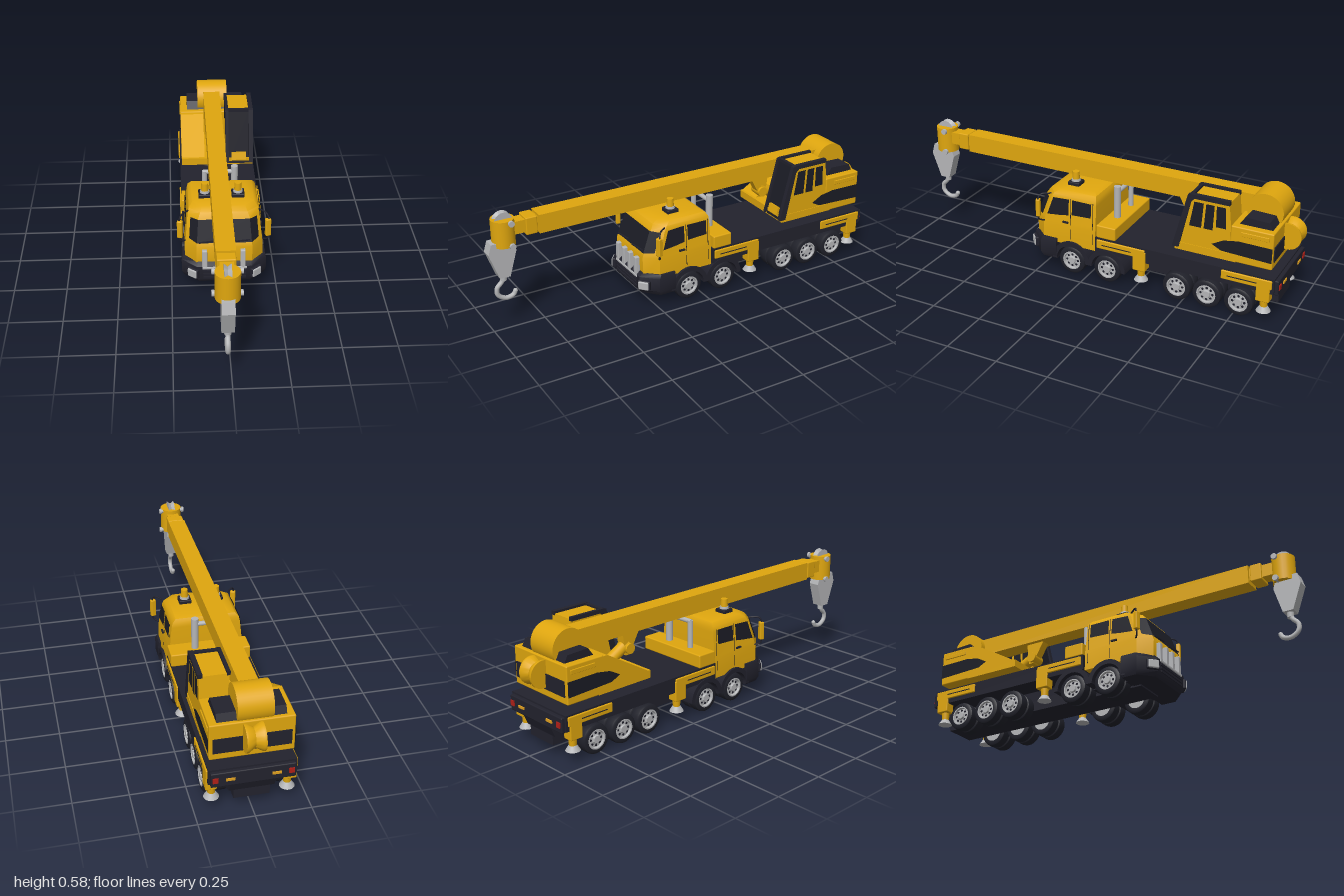
import * as THREE from 'three';
import { toCreasedNormals } from 'three/addons/utils/BufferGeometryUtils.js';
import { RoundedBoxGeometry } from 'three/addons/geometries/RoundedBoxGeometry.js';

const mat = (name, color, side = THREE.FrontSide) => {
  const m = new THREE.MeshStandardMaterial({ color, side });
  m.name = name;
  return m;
};

export function createModel() {
  const root = new THREE.Group();
  root.name = 'mobileCrane';
  const yellow = mat('yellow paint', 0xdfa60e), dark = mat('dark plastic', 0x22222d);
  const glass = mat('dark glass', 0x1b1c25, THREE.DoubleSide), rubber = mat('tyre rubber', 0x20212a);
  const grey = mat('light grey metal', 0xb4b5b7), red = mat('red lamp', 0xb02018), amber = mat('amber lamp', 0xe0a020);

  const add = (name, geo, m, x = 0, y = 0, z = 0, parent = root) => {
    const o = new THREE.Mesh(geo, m);
    o.name = name;
    o.position.set(x, y, z);
    parent.add(o);
    return o;
  };
  // Box given by its limits on each axis
  const box = (name, m, x0, x1, y0, y1, z0, z1, r = 0) => {
    const s = [x1 - x0, y1 - y0, z1 - z0];
    const g = r ? new RoundedBoxGeometry(...s, 2, r) : new THREE.BoxGeometry(...s);
    return add(name, g, m, (x0 + x1) / 2, (y0 + y1) / 2, (z0 + z1) / 2);
  };
  const shapeOf = pts => new THREE.Shape(pts.map(p => new THREE.Vector2(p[0], p[1])));
  // Side shape, drawn in z and y, extruded from x0 to x1
  const extrudeX = (name, m, shape, x0, x1) => {
    const g = new THREE.ExtrudeGeometry(shape, { depth: x1 - x0, bevelEnabled: false, curveSegments: 16 });
    return add(name, g.rotateY(-Math.PI / 2), m, x1);
  };
  const slab = (name, m, pts, x0, x1) => extrudeX(name, m, shapeOf(pts), x0, x1);
  // Thin pane of [z, y] points laid on a side whose x depends on height
  const pane = (name, m, pts, xOf) => {
    const g = new THREE.ShapeGeometry(shapeOf(pts)), p = g.attributes.position;
    for (let i = 0; i < p.count; i++) p.setXYZ(i, xOf(p.getY(i)), p.getY(i), p.getX(i));
    g.computeVertexNormals();
    return add(name, g, m);
  };
  const rodX = (name, m, r, x0, x1, y, z, n = 24) =>
    add(name, new THREE.CylinderGeometry(r, r, x1 - x0, n).rotateZ(Math.PI / 2), m, (x0 + x1) / 2, y, z);
  const post = (name, m, r0, r1, x, y0, y1, z) =>
    add(name, new THREE.CylinderGeometry(r1, r0, y1 - y0, 24), m, x, (y0 + y1) / 2, z);
  // Loft through sections [y, halfWidth, frontHalfWidth, zFront, zCorner, zBack]
  const loft = secs => {
    const pos = [], idx = [], n = 6, last = (secs.length - 1) * n;
    for (const [y, h, f, zf, zc, zb] of secs)
      pos.push(-h, y, zb, -h, y, zc, -f, y, zf, f, y, zf, h, y, zc, h, y, zb);
    for (let k = 0; k < secs.length - 1; k++) for (let i = 0; i < n; i++) {
      const a = k * n + i, b = k * n + (i + 1) % n;
      idx.push(a, b, b + n, a, b + n, a + n);
    }
    for (let i = 1; i < n - 1; i++) idx.push(0, i + 1, i, last, last + i, last + i + 1);
    const g = new THREE.BufferGeometry();
    g.setAttribute('position', new THREE.Float32BufferAttribute(pos, 3));
    g.setIndex(idx);
    return toCreasedNormals(g, 0.6);
  };

  // Driver cab
  add('driverCab', loft([
    [0.15, 0.185, 0.13, 0.295, 0.235, -0.045], [0.25, 0.182, 0.13, 0.298, 0.235, -0.045],
    [0.272, 0.178, 0.128, 0.288, 0.23, -0.045], [0.375, 0.168, 0.12, 0.247, 0.2, -0.042],
    [0.4, 0.162, 0.11, 0.23, 0.185, -0.04], [0.417, 0.145, 0.1, 0.2, 0.16, -0.03],
    [0.425, 0.11, 0.08, 0.16, 0.13, -0.01]]), yellow);
  const wind = new THREE.BufferGeometry();
  wind.setAttribute('position', new THREE.Float32BufferAttribute([
    -0.163, 0.275, 0.252, -0.128, 0.27, 0.293, 0.128, 0.27, 0.293, 0.163, 0.275, 0.252,
    -0.155, 0.37, 0.219, -0.12, 0.374, 0.253, 0.12, 0.374, 0.253, 0.155, 0.37, 0.219], 3));
  wind.setIndex([0, 1, 5, 0, 5, 4, 1, 2, 6, 1, 6, 5, 2, 3, 7, 2, 7, 6]);
  add('windscreen', toCreasedNormals(wind, 0.3), glass);
  for (const s of [-0.07, 0.07])
    box('wiper', dark, s - 0.05, s + 0.05, 0.276, 0.281, 0.29, 0.297).rotation.z = 0.12;
  add('frontBumper', loft([[0.062, 0.19, 0.12, 0.3, 0.235, 0.16], [0.085, 0.2, 0.128, 0.315, 0.245, 0.16],
    [0.152, 0.2, 0.128, 0.315, 0.245, 0.16], [0.17, 0.195, 0.125, 0.295, 0.235, 0.16]]), dark);
  for (const y of [0.095, 0.112, 0.128]) box('bumperSlat', dark, -0.1, 0.1, y - 0.005, y + 0.005, 0.31, 0.32);
  for (const x of [-0.093, -0.032, 0.025, 0.086])
    box('grilleBar', grey, x - 0.012, x + 0.012, 0.14, 0.24, 0.294, 0.318, 0.004);
  box('grilleCrossbar', grey, -0.105, 0.105, 0.14, 0.152, 0.3, 0.32, 0.003);

  for (const s of [-1, 1]) {
    const xOf = y => s * (0.1845 - Math.max(0, y - 0.272) * 0.1);
    pane('doorWindow', glass, [[0.215, 0.29], [0.185, 0.38], [0.1, 0.385], [0.1, 0.305], [0.15, 0.297]], xOf);
    pane('rearWindow', glass, [[0.082, 0.31], [0.082, 0.385], [-0.02, 0.385], [-0.02, 0.315]], xOf);
    for (const z of [0.091, -0.028])
      pane('doorSeam', glass, [[z, 0.18], [z, 0.39], [z - 0.003, 0.39], [z - 0.003, 0.18]], y => xOf(y) + s * 0.001);
    box('doorHandle', dark, s * 0.184 - 0.004, s * 0.184 + 0.004, 0.262, 0.27, 0.1, 0.13);
    const lamp = add('headlightBezel', new RoundedBoxGeometry(0.062, 0.05, 0.03, 2, 0.006), dark, s * 0.143, 0.113, 0.296);
    const lens = add('headlight', new RoundedBoxGeometry(0.052, 0.042, 0.03, 2, 0.006), grey, s * 0.146, 0.113, 0.301);
    lamp.rotation.y = lens.rotation.y = s * 0.7;
    // Mirror on a bent bracket
    const curve = new THREE.CatmullRomCurve3([[0.165, 0.395, 0.2], [0.198, 0.394, 0.24], [0.209, 0.37, 0.25], [0.208, 0.28, 0.25],
      [0.203, 0.262, 0.25], [0.178, 0.25, 0.23]].map(p => new THREE.Vector3(s * p[0], p[1], p[2])));
    add('mirrorBracket', new THREE.TubeGeometry(curve, 24, 0.004, 6), dark);
    box('mirror', yellow, s * 0.205 - 0.013, s * 0.205 + 0.013, 0.28, 0.37, 0.24, 0.262, 0.005).rotation.y = s * 0.3;
    // Roof beacon
    const x = -0.006 + s * 0.078;
    box('beaconBase', dark, x - 0.03, x + 0.03, 0.415, 0.442, 0.085, 0.145, 0.005);
    post('beaconCollar', grey, 0.023, 0.021, x, 0.442, 0.453, 0.115);
    post('beacon', yellow, 0.018, 0.016, x, 0.453, 0.49, 0.115);
  }

  // Chassis and deck
  box('chassis', dark, -0.08, 0.08, 0.055, 0.16, -0.93, 0.2);
  box('cabFloor', dark, -0.13, 0.13, 0.065, 0.16, -0.03, 0.2);
  box('deck', dark, -0.193, 0.193, 0.155, 0.23, -0.94, -0.05);
  box('rearBumper', dark, -0.185, 0.185, 0.15, 0.222, -0.957, -0.93, 0.005);
  slab('rearUnderguard', dark, [[-0.85, 0.06], [-0.93, 0.1], [-0.955, 0.16], [-0.85, 0.16]], -0.1, 0.1);
  box('toolLocker', yellow, -0.193, 0.193, 0.23, 0.295, -0.155, -0.055, 0.006);
  for (const s of [-1, 1]) {
    box('rearLamp', amber, s * 0.1 - 0.02, s * 0.1 + 0.02, 0.18, 0.192, -0.962, -0.95);
    box('tailLamp', red, s * 0.165 - 0.012, s * 0.165 + 0.012, 0.175, 0.2, -0.962, -0.95);
    const [xi, xo] = [s * 0.12, s * 0.197].sort((a, b) => a - b);
    for (const z of [0.08, -0.11]) {
      const arch = new THREE.Shape();
      arch.absarc(z, 0.07, 0.1, 0, Math.PI, false);
      arch.absarc(z, 0.07, 0.078, Math.PI, 0, true);
      extrudeX('wheelArch', dark, arch, xi, xo);
    }
    // Outrigger housings with legs and pads
    for (const [z0, z1, leg] of [[-0.31, -0.06, -0.282], [-0.93, -0.69, -0.89]]) {
      const [a, b] = [s * 0.15, s * 0.2].sort((p, q) => p - q);
      box('outriggerHousing', yellow, a, b, 0.178, 0.222, z0, z1, 0.004);
      box('outriggerLeg', yellow, a, b, 0.11, 0.21, leg - 0.032, leg + 0.032, 0.004);
      post('outriggerRam', yellow, 0.017, 0.02, s * 0.168, 0.075, 0.12, leg);
      post('outriggerPad', grey, 0.034, 0.018, s * 0.168, 0.05, 0.075, leg);
      box('housingRib', dark, s * 0.2 - 0.002, s * 0.2 + 0.002, 0.197, 0.201, z0 + 0.07, z1 - 0.03);
    }
  }

  // Wheels: twin tyres with a pierced rim
  const lathe = pts => toCreasedNormals(new THREE.LatheGeometry(pts.map(p => new THREE.Vector2(...p)), 28), 0.7).rotateZ(-Math.PI / 2);
  const tyre = lathe([[0.046, -0.027], [0.06, -0.027], [0.068, -0.022], [0.07, -0.014], [0.07, 0.014], [0.068, 0.022], [0.06, 0.027], [0.046, 0.027]]);
  const rim = lathe([[0.0001, -0.08], [0.047, -0.08], [0.047, 0.028], [0.041, 0.028], [0.038, 0.018], [0.02, 0.02], [0.017, 0.029], [0.0001, 0.029]]);
  const hole = new THREE.CylinderGeometry(0.006, 0.006, 0.006, 10).rotateZ(Math.PI / 2);
  for (const s of [-1, 1]) for (const z of [0.08, -0.11, -0.47, -0.62, -0.775]) {
    const w = new THREE.Group();
    w.name = 'wheel';
    w.position.set(s * 0.163, 0.07, z);
    if (s < 0) w.rotation.y = Math.PI;
    root.add(w);
    add('outerTyre', tyre, rubber, 0, 0, 0, w);
    add('innerTyre', tyre, rubber, -0.056, 0, 0, w);
    add('rim', rim, grey, 0, 0, 0, w);
    for (let i = 0; i < 8; i++) {
      const a = i * Math.PI / 4;
      add('rimHole', hole, dark, 0.017, 0.029 * Math.cos(a), 0.029 * Math.sin(a), w);
    }
  }

  // Boom rest behind the driver cab
  post('boomRestPost', grey, 0.017, 0.017, 0.068, 0.29, 0.455, -0.105);
  post('boomRestPost', grey, 0.013, 0.013, -0.078, 0.29, 0.43, -0.105);
  rodX('boomRestBar', grey, 0.011, -0.085, 0.075, 0.425, -0.105);

  // Slewing upper body
  post('turntable', dark, 0.11, 0.085, 0, 0.228, 0.272, -0.6);
  box('upperFloor', yellow, -0.185, 0.185, 0.268, 0.305, -0.75, -0.455);
  box('counterweight', yellow, -0.185, 0.185, 0.268, 0.445, -0.92, -0.72, 0.006);
  slab('leftSlope', yellow, [[-0.46, 0.3], [-0.73, 0.3], [-0.73, 0.44], [-0.7, 0.44]], -0.185, -0.065);
  box('rearBand', dark, -0.17, 0.17, 0.303, 0.375, -0.925, -0.918);
  for (const s of [-1, 1]) {
    pane('sideBand', glass, [[-0.918, 0.303], [-0.918, 0.375], [-0.76, 0.377], [-0.69, 0.365], [-0.635, 0.335], [-0.68, 0.312]], () => s * 0.188);
    box('topTrim', yellow, s * 0.186 - 0.004, s * 0.186 + 0.004, 0.405, 0.425, -0.9, -0.77, 0.002);
  }
  slab('engineCover', dark, [[-0.905, 0.44], [-0.885, 0.478], [-0.775, 0.482], [-0.745, 0.44]], -0.15, 0.15);
  rodX('boomPivotDrum', yellow, 0.085, -0.092, 0.064, 0.485, -0.833, 40);
  add('rearWinch', lathe([[0.0001, -0.042], [0.064, -0.042], [0.064, -0.032], [0.045, 0], [0.064, 0.032], [0.064, 0.042], [0.0001, 0.042]]), yellow, 0, 0.375, -0.936);

  // Operator cab
  slab('operatorCab', yellow, [[-0.457, 0.27], [-0.72, 0.27], [-0.72, 0.44], [-0.708, 0.545], [-0.525, 0.545]], 0.05, 0.182);
  slab('operatorWindscreen', glass, [[-0.452, 0.275], [-0.458, 0.275], [-0.527, 0.547], [-0.52, 0.547]], 0.06, 0.166);
  box('operatorStep', yellow, 0.075, 0.15, 0.295, 0.335, -0.468, -0.45).rotation.x = -0.25;
  for (const [a, b] of [[0.044, 0.06], [0.165, 0.187]])
    slab('operatorFrame', dark, [[-0.442, 0.28], [-0.512, 0.552], [-0.525, 0.556], [-0.71, 0.556], [-0.71, 0.537], [-0.545, 0.537], [-0.528, 0.52], [-0.475, 0.28]], a, b);
  box('operatorRoofEdge', dark, 0.05, 0.18, 0.535, 0.554, -0.535, -0.518);
  for (const x of [0.184, 0.048]) {
    pane('operatorWindow', glass, [[-0.522, 0.4], [-0.543, 0.522], [-0.588, 0.522], [-0.58, 0.4]], () => x);
    pane('operatorWindow', glass, [[-0.592, 0.4], [-0.6, 0.522], [-0.64, 0.522], [-0.635, 0.4]], () => x);
    pane('operatorWindow', glass, [[-0.65, 0.42], [-0.65, 0.522], [-0.692, 0.522], [-0.697, 0.42]], () => x);
  }

  // Telescopic boom
  const bx = -0.018;
  box('boomMain', yellow, bx - 0.043, bx + 0.043, 0.448, 0.538, -0.83, 0.757);
  box('boomCollar', yellow, bx - 0.041, bx + 0.041, 0.452, 0.536, 0.765, 0.82, 0.005);
  box('boomInner', yellow, bx - 0.03, bx + 0.03, 0.465, 0.526, 0.74, 0.9);
  slab('boomLug', yellow, [[-0.39, 0.45], [-0.45, 0.34], [-0.475, 0.34], [-0.49, 0.45]], bx - 0.022, bx + 0.022);
  rodX('liftPin', yellow, 0.025, bx - 0.035, bx + 0.035, 0.37, -0.455);
  post('liftCylinder', yellow, 0.027, 0.027, bx, 0.24, 0.44, -0.535).rotation.x = 1.05;

  // Boom head with pulley
  post('boomHead', yellow, 0.054, 0.054, bx, 0.418, 0.545, 0.915);
  for (const y of [0.425, 0.535]) {
    rodX('headPin', grey, 0.009, bx - 0.066, bx + 0.066, y, 0.895);
    for (const s of [-1, 1]) rodX('pinCap', grey, 0.014, bx + s * 0.06 - 0.006, bx + s * 0.06 + 0.006, y, 0.895);
  }
  add('headPulley', lathe([[0.0001, -0.016], [0.044, -0.016], [0.03, 0], [0.044, 0.016], [0.0001, 0.016]]), grey, bx, 0.532, 0.915);

  // Hook block and hook
  slab('hookBlock', grey, [[0.905, 0.265], [0.955, 0.265], [1, 0.39], [0.985, 0.44], [0.885, 0.44], [0.868, 0.39]], bx - 0.028, bx + 0.028);
  post('hookSwivel', grey, 0.015, 0.017, bx, 0.24, 0.285, 0.93);
  const hook = new THREE.CatmullRomCurve3([[0.93, 0.265], [0.938, 0.235], [0.964, 0.205], [0.962, 0.172], [0.925, 0.147], [0.888, 0.155], [0.877, 0.172]]
    .map(p => new THREE.Vector3(bx, p[1], p[0])));
  add('hook', new THREE.TubeGeometry(hook, 40, 0.011, 10), grey);
  add('hookTip', new THREE.SphereGeometry(0.011, 12, 8), grey, bx, 0.172, 0.877);
  return root;
}
